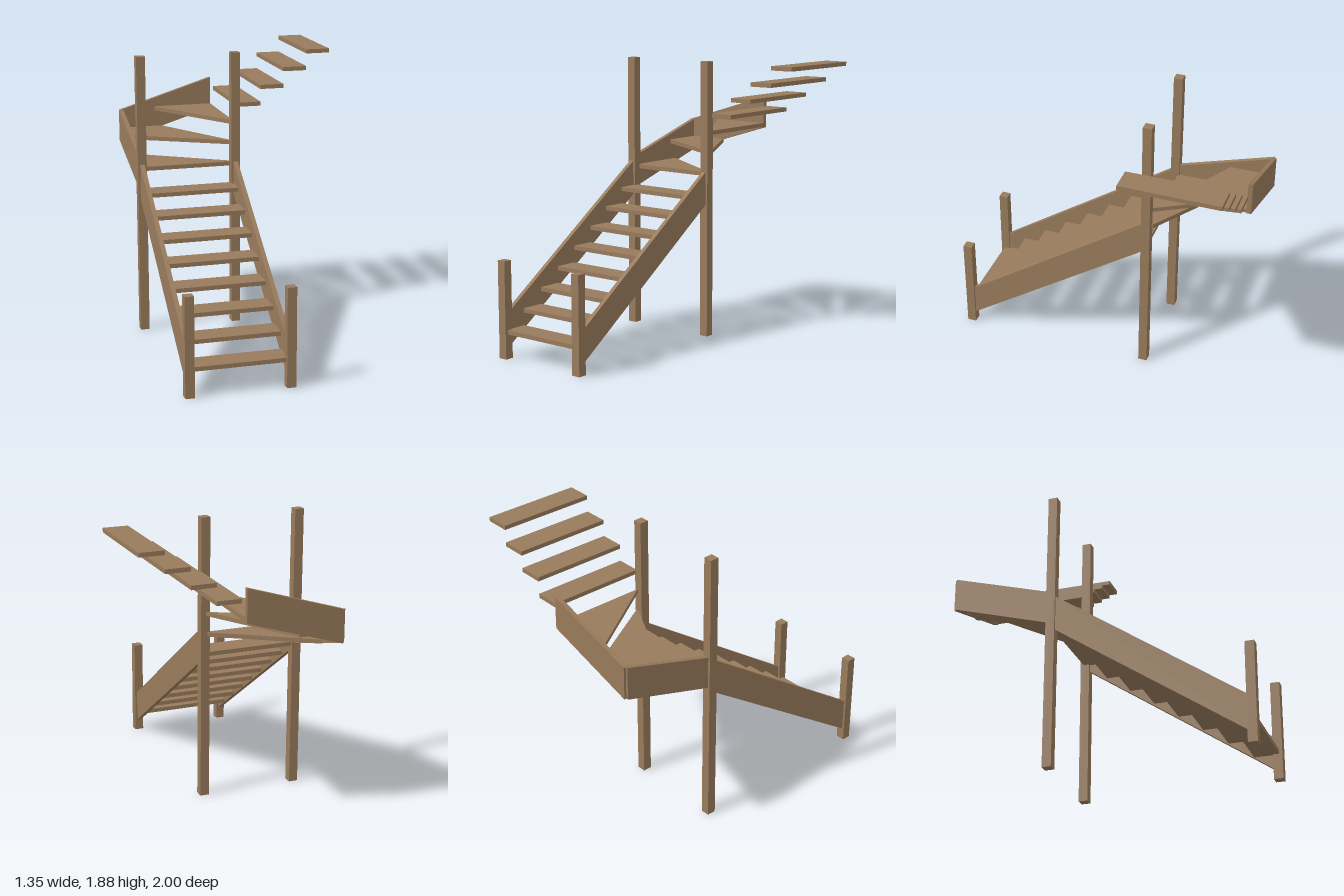
import * as THREE from 'three';

const TREAD = 0.028; // tread thickness
const BOARD = 0.03;  // stringer thickness

export function createModel() {
  const group = new THREE.Group();
  group.name = 'winderStaircase';
  const wood = new THREE.MeshStandardMaterial({ color: 0x997b5c });
  wood.name = 'wood';

  const add = (name, geometry) => {
    const mesh = new THREE.Mesh(geometry, wood);
    mesh.name = name;
    group.add(mesh);
    return mesh;
  };
  const box = (name, x0, x1, y0, y1, z0, z1) =>
    add(name, new THREE.BoxGeometry(x1 - x0, y1 - y0, z1 - z0))
      .position.set((x0 + x1) / 2, (y0 + y1) / 2, (z0 + z1) / 2);
  const prism = (points, depth) => new THREE.ExtrudeGeometry(
    new THREE.Shape(points.map(([a, b]) => new THREE.Vector2(a, b))),
    { depth, bevelEnabled: false });

  // Newel posts: short at the foot, tall at the turn
  for (const [side, x] of [['right', -0.645], ['left', 0]]) {
    box(side + 'FootPost', x - 0.03, x + 0.03, 0, 0.65, 0.94, 1);
    box(side + 'TurnPost', x - 0.03, x + 0.03, 0, 1.885, -0.345, -0.285);
  }

  // Sloping boards running along z: points are [z, y]
  const sideStringer = (name, x, points) => {
    const g = prism(points, BOARD);
    g.rotateY(-Math.PI / 2);
    g.translate(x + BOARD / 2, 0, 0);
    add(name, g);
  };
  sideStringer('leftStringer', 0, [[0.94, 0.075], [0.94, 0.29], [-0.285, 1.14], [-0.285, 0.915]]);
  sideStringer('rightStringer', -0.645, [[0.94, 0.085], [0.94, 0.315], [-0.285, 1.16], [-0.285, 0.925]]);
  sideStringer('turnSideStringer', -0.645, [[-0.345, 0.985], [-0.345, 1.205], [-0.985, 1.4], [-0.985, 1.18]]);

  // Back board running along x
  const back = prism([[-0.645, 1.18], [0, 1.38], [0, 1.6], [-0.645, 1.4]], BOARD);
  back.translate(0, 0, -1);
  add('backStringer', back);

  // Straight lower treads
  for (let i = 0; i < 8; i++) {
    const z = 0.98 - 0.163 * i, y = 0.164 + 0.1139 * i;
    box('lowerTread' + (i + 1), -0.63, -0.015, y, y + TREAD, z - 0.163, z);
  }

  // Winder treads fanning round the left turn post: points are [x, z]
  const winders = [
    [[-0.63, -0.333], [-0.015, -0.333], [-0.015, -0.355], [-0.63, -0.75]],
    [[-0.63, -0.695], [0, -0.355], [-0.36, -0.972], [-0.63, -0.972]],
    [[0, -0.35], [0, -0.972], [-0.41, -0.972]],
  ];
  winders.forEach((points, i) => {
    const g = prism(points.map(([x, z]) => [x, -z]), TREAD);
    g.rotateX(-Math.PI / 2);
    g.translate(0, 1.104 + 0.14 * i, 0);
    add('winderTread' + (i + 1), g);
  });

  // Straight upper treads rising to the left
  for (let i = 0; i < 4; i++) {
    const x = 0.026 + 0.162 * i, y = 1.506 + 0.1139 * i;
    box('upperTread' + (i + 1), x, x + 0.162, y, y + TREAD, -0.98, -0.335);
  }

  return group;
}
